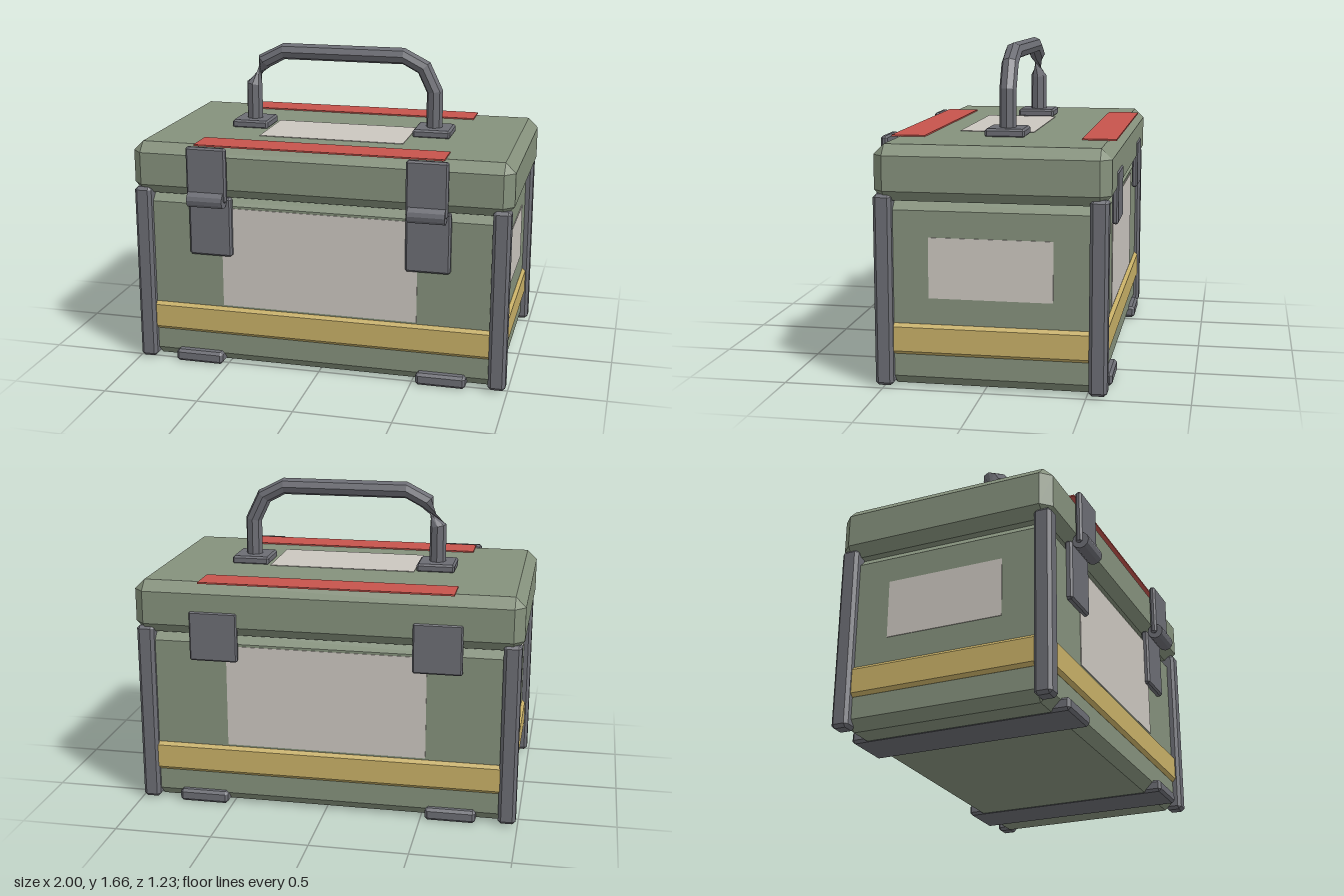
import * as THREE from 'three';
import { ConvexGeometry } from 'three/addons/geometries/ConvexGeometry.js';

const mat = (name, color) => {
  const m = new THREE.MeshStandardMaterial({ color, flatShading: true });
  m.name = name;
  return m;
};

// Box given by its extents, with every edge and corner cut by c
function chamferBox([x0, x1], [y0, y1], [z0, z1], c) {
  const half = new THREE.Vector3(x1 - x0, y1 - y0, z1 - z0).multiplyScalar(0.5);
  const points = [];
  for (const sx of [-1, 1]) for (const sy of [-1, 1]) for (const sz of [-1, 1]) {
    for (let axis = 0; axis < 3; axis++) {
      const p = half.clone().subScalar(c);
      p.setComponent(axis, half.getComponent(axis));
      points.push(p.multiply(new THREE.Vector3(sx, sy, sz)));
    }
  }
  return new ConvexGeometry(points).translate((x0 + x1) / 2, (y0 + y1) / 2, (z0 + z1) / 2);
}

function plainBox([x0, x1], [y0, y1], [z0, z1]) {
  return new THREE.BoxGeometry(x1 - x0, y1 - y0, z1 - z0)
    .translate((x0 + x1) / 2, (y0 + y1) / 2, (z0 + z1) / 2);
}

// Eight-sided bar in the xy plane; the first two rings are turned by half a turn
function handleGeometry(z, radius) {
  const sides = 8;
  const right = [[0.33, 1.612], [0.44, 1.555], [0.5, 1.43], [0.5, 1.22]];
  const path = [...right.map(([x, y]) => [-x, y]).reverse(), ...right];
  const positions = [], index = [];
  path.forEach(([x, y], i) => {
    const a = path[Math.max(i - 1, 0)], b = path[Math.min(i + 1, path.length - 1)];
    const angle = Math.atan2(b[1] - a[1], b[0] - a[0]);
    const turn = i < 2 ? Math.PI : 0;
    for (let s = 0; s < sides; s++) {
      const t = (s / sides) * Math.PI * 2 + turn;
      const n = Math.cos(t) * radius;
      positions.push(x - Math.sin(angle) * n, y + Math.cos(angle) * n, z + Math.sin(t) * radius);
      if (i > 0) {
        const q = i * sides + s, r = i * sides + (s + 1) % sides;
        index.push(q - sides, q, r, q - sides, r, r - sides);
      }
    }
  });
  const g = new THREE.BufferGeometry();
  g.setAttribute('position', new THREE.Float32BufferAttribute(positions, 3));
  g.setIndex(index);
  const flat = g.toNonIndexed();
  flat.computeVertexNormals();
  return flat;
}

export function createModel() {
  const green = mat('case green', 0x85917c);
  const grey = mat('metal grey', 0x6c6d74);
  const yellow = mat('band yellow', 0xc8b067);
  const red = mat('strip red', 0xc7544c);
  const pale = mat('panel pale grey', 0xcbc6bf);
  const handleGrey = grey.clone();
  handleGrey.side = THREE.DoubleSide;

  const model = new THREE.Group();
  model.name = 'toolCase';
  const add = (name, geometry, material) => {
    const mesh = new THREE.Mesh(geometry, material);
    mesh.name = name;
    model.add(mesh);
  };

  // Case and lid
  add('body', chamferBox([-0.95, 0.95], [0.003, 0.93], [-0.57, 0.5], 0.05), green);
  add('lid', chamferBox([-1, 1], [0.925, 1.2], [-0.61, 0.54], 0.052), green);
  add('band', chamferBox([-0.968, 0.968], [0.165, 0.32], [-0.588, 0.518], 0.017), yellow);

  // Pale panels on the front, back, sides and lid
  add('frontPanel', plainBox([-0.52, 0.52], [0.33, 0.868], [0.498, 0.504]), pale);
  add('backPanel', plainBox([-0.52, 0.52], [0.33, 0.868], [-0.574, -0.568]), pale);
  add('leftPanel', plainBox([0.948, 0.954], [0.45, 0.75], [-0.335, 0.275]), pale);
  add('rightPanel', plainBox([-0.954, -0.948], [0.45, 0.75], [-0.335, 0.275]), pale);
  add('lidPanel', plainBox([-0.39, 0.385], [1.197, 1.203], [-0.15, 0.237]), pale);

  // Red strips along the lid
  add('frontStrip', plainBox([-0.653, 0.653], [1.199, 1.207], [0.36, 0.532]), red);
  add('backStrip', plainBox([-0.653, 0.653], [1.199, 1.207], [-0.6, -0.43]), red);

  for (const s of [-1, 1]) {
    const side = s > 0 ? 'left' : 'right';
    const span = (a, b) => (s > 0 ? [a, b] : [-b, -a]);

    // Corner posts and skids
    add(side + 'FrontPost', chamferBox(span(0.9, 0.99), [0.008, 0.96], [0.45, 0.54], 0.016), grey);
    add(side + 'BackPost', chamferBox(span(0.9, 0.99), [0.008, 0.96], [-0.6, -0.51], 0.016), grey);
    add(side + 'Skid', chamferBox(span(0.525, 0.785), [0, 0.065], [-0.605, 0.545], 0.014), grey);

    // Front latch: lower plate, upper plate and barrel
    add(side + 'LatchPlate', chamferBox(span(0.46, 0.692), [0.61, 0.93], [0.49, 0.53], 0.01), grey);
    add(side + 'LatchLever', chamferBox(span(0.468, 0.682), [0.915, 1.203], [0.546, 0.58], 0.01), grey);
    add(side + 'LatchBarrel', new THREE.CylinderGeometry(0.043, 0.043, 0.19, 12)
      .rotateZ(Math.PI / 2).translate(s * 0.577, 0.927, 0.569), grey);

    // Hinge plate and handle foot
    add(side + 'Hinge', chamferBox(span(0.45, 0.702), [0.795, 1.055], [-0.617, -0.585], 0.008), grey);
    add(side + 'HandleFoot', chamferBox(span(0.4, 0.6), [1.195, 1.24], [-0.135, 0.067], 0.01), grey);
  }

  add('handle', handleGeometry(-0.035, 0.044), handleGrey);
  return model;
}
